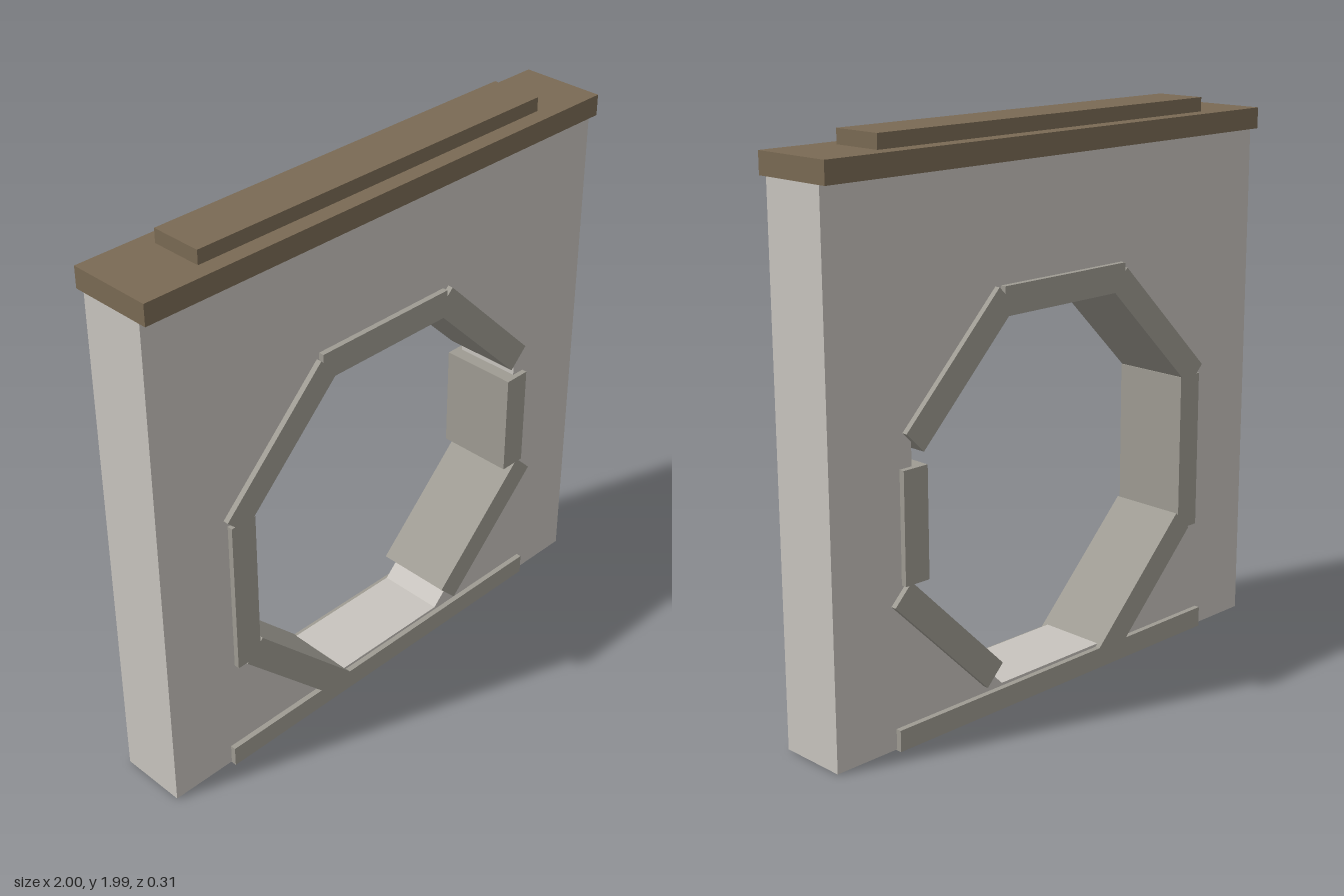
import * as THREE from 'three';

export function createModel() {
  const model = new THREE.Group();
  model.name = 'archedWall';

  const plaster = new THREE.MeshStandardMaterial({ color: 0xc8c4be });
  plaster.name = 'pale plaster';
  const stone = new THREE.MeshStandardMaterial({ color: 0x9e9b92 });
  stone.name = 'grey stone';
  const coping = new THREE.MeshStandardMaterial({ color: 0x7a6a54 });
  coping.name = 'brown coping';

  function box(name, material, w, h, d, x, y) {
    const mesh = new THREE.Mesh(new THREE.BoxGeometry(w, h, d), material);
    mesh.name = name;
    mesh.position.set(x, y, 0);
    model.add(mesh);
    return mesh;
  }

  // Wall slab pierced by an octagonal opening
  const centreY = 0.75;
  const apothem = 0.665;
  const radius = apothem / Math.cos(Math.PI / 8);
  const wallShape = new THREE.Shape([
    new THREE.Vector2(-0.997, 0.003), new THREE.Vector2(0.997, 0.003),
    new THREE.Vector2(0.997, 1.87), new THREE.Vector2(-0.997, 1.87),
  ]);
  const corners = [];
  for (let i = 0; i < 8; i++) {
    const a = -Math.PI / 8 - (i * Math.PI) / 4;
    corners.push(new THREE.Vector2(radius * Math.cos(a), centreY + radius * Math.sin(a)));
  }
  wallShape.holes.push(new THREE.Path(corners));
  const wallGeometry = new THREE.ExtrudeGeometry(wallShape, { depth: 0.25, bevelEnabled: false });
  wallGeometry.translate(0, 0, -0.125);
  const wall = new THREE.Mesh(wallGeometry, plaster);
  wall.name = 'wall';
  model.add(wall);

  // Uneven stone blocks lining the opening: name, start and end of centre line
  const blocks = [
    ['topBlock', -0.305, 1.415, 0.27, 1.415],
    ['upperLeftSideBlock', 0.26, 1.43, 0.665, 1.025],
    ['leftSideBlock', 0.665, 0.945, 0.665, 0.56],
    ['lowerLeftSideBlock', 0.725, 0.535, 0.325, 0.135],
    ['lowerRightSideBlock', -0.23, 0.04, -0.64, 0.45],
    ['rightSideBlock', -0.665, 0.42, -0.665, 1.0],
    ['upperRightSideBlock', -0.695, 0.995, -0.28, 1.41],
  ];
  for (const [name, x1, y1, x2, y2] of blocks) {
    const length = Math.hypot(x2 - x1, y2 - y1);
    const block = box(name, stone, length, 0.1, 0.29, (x1 + x2) / 2, (y1 + y2) / 2);
    block.rotation.z = Math.atan2(y2 - y1, x2 - x1);
  }

  // Threshold at the foot
  box('threshold', stone, 1.5, 0.075, 0.29, 0, 0.0375);

  // Stepped coping on top
  box('copingSlab', coping, 2, 0.075, 0.31, 0, 1.9025);
  box('copingRidge', coping, 1.5, 0.05, 0.19, 0, 1.965);

  return model;
}
